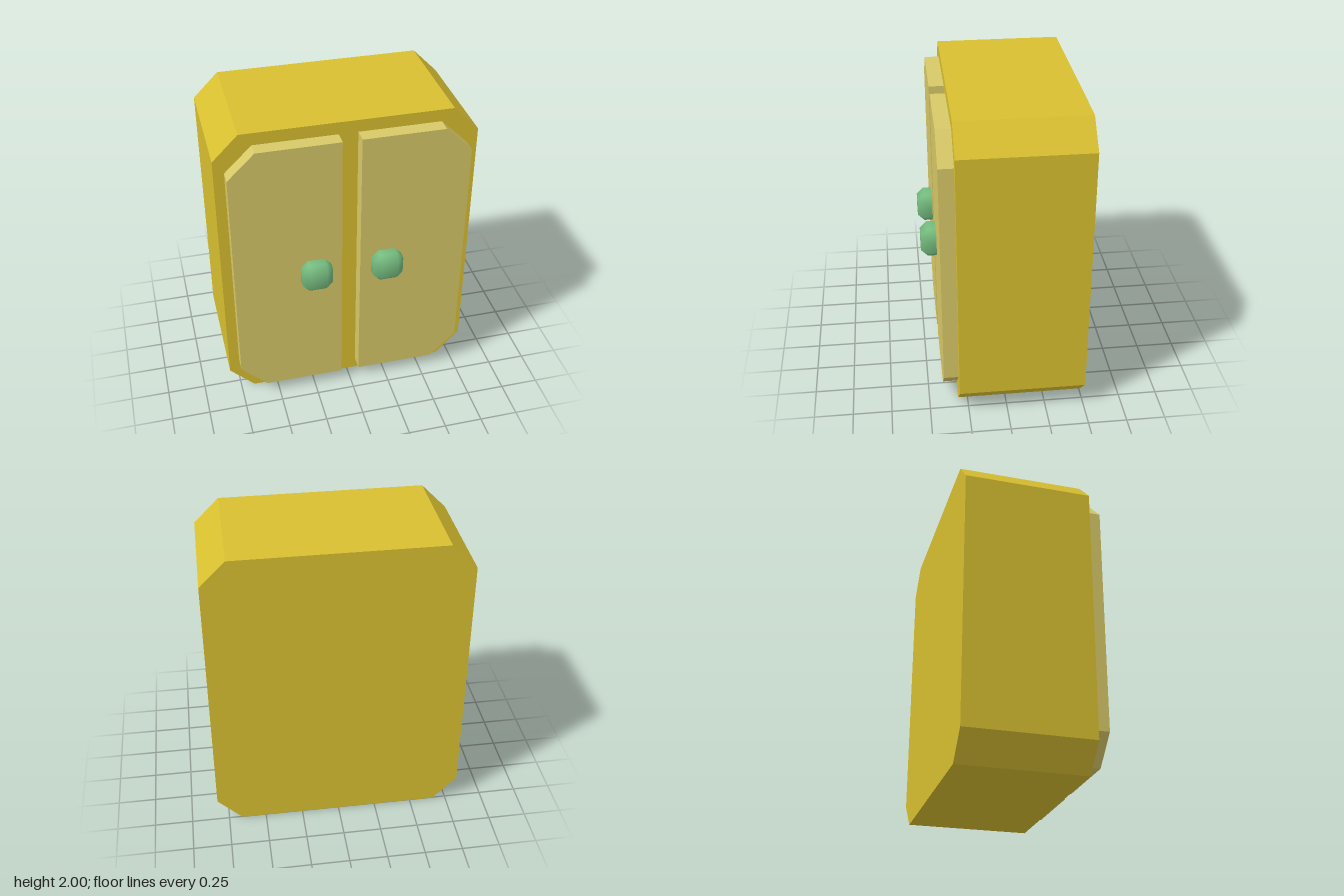
import * as THREE from 'three';
import { mergeVertices } from 'three/addons/utils/BufferGeometryUtils.js';
import { ConvexGeometry } from 'three/addons/geometries/ConvexGeometry.js';

function material(name, color) {
  const m = new THREE.MeshStandardMaterial({ color });
  m.name = name;
  return m;
}

// Flat panel extruded from a polygon between two depths
function panel(name, points, back, front, mat) {
  const shape = new THREE.Shape(points.map(([x, y]) => new THREE.Vector2(x, y)));
  const geo = new THREE.ExtrudeGeometry(shape, { depth: front - back, bevelEnabled: false });
  geo.translate(0, 0, back);
  const mesh = new THREE.Mesh(geo, mat);
  mesh.name = name;
  return mesh;
}

// Cube with cut edges and corners, shaded smoothly
function knobGeometry(half, cut) {
  const inner = half - cut;
  const points = [];
  for (const x of [-1, 1]) for (const y of [-1, 1]) for (const z of [-1, 1]) {
    points.push(
      new THREE.Vector3(x * half, y * inner, z * inner),
      new THREE.Vector3(x * inner, y * half, z * inner),
      new THREE.Vector3(x * inner, y * inner, z * half));
  }
  let geo = new ConvexGeometry(points);
  geo.deleteAttribute('normal');
  geo = mergeVertices(geo, 1e-4);
  geo.computeVertexNormals();
  return geo;
}

export function createModel() {
  const group = new THREE.Group();
  group.name = 'cabinet';
  const bodyMat = material('golden yellow', 0xd8bf30);
  const doorMat = material('pale straw', 0xd7c867);
  const knobMat = material('soft green', 0x76bd80);

  // Cabinet body with cut corners
  group.add(panel('body', [
    [-0.66, 0], [0.66, 0], [0.822, 0.165], [0.822, 1.837],
    [0.66, 2], [-0.66, 2], [-0.822, 1.837], [-0.822, 0.165],
  ], -0.505, 0.31, bodyMat));

  // Mirrored doors with cut outer corners, and their knobs
  const doorPoints = [[0.06, 0.08], [0.583, 0.08], [0.755, 0.25],
    [0.755, 1.752], [0.583, 1.92], [0.06, 1.92]];
  const knobGeo = knobGeometry(0.098, 0.044);
  for (const [side, s] of [['left', 1], ['right', -1]]) {
    const points = doorPoints.map(([x, y]) => [s * x, y]);
    group.add(panel(side + 'Door', points, 0.31, 0.405, doorMat));
    const knob = new THREE.Mesh(knobGeo, knobMat);
    knob.name = side + 'Knob';
    knob.position.set(s * 0.232, 0.985, 0.407);
    group.add(knob);
  }
  return group;
}
